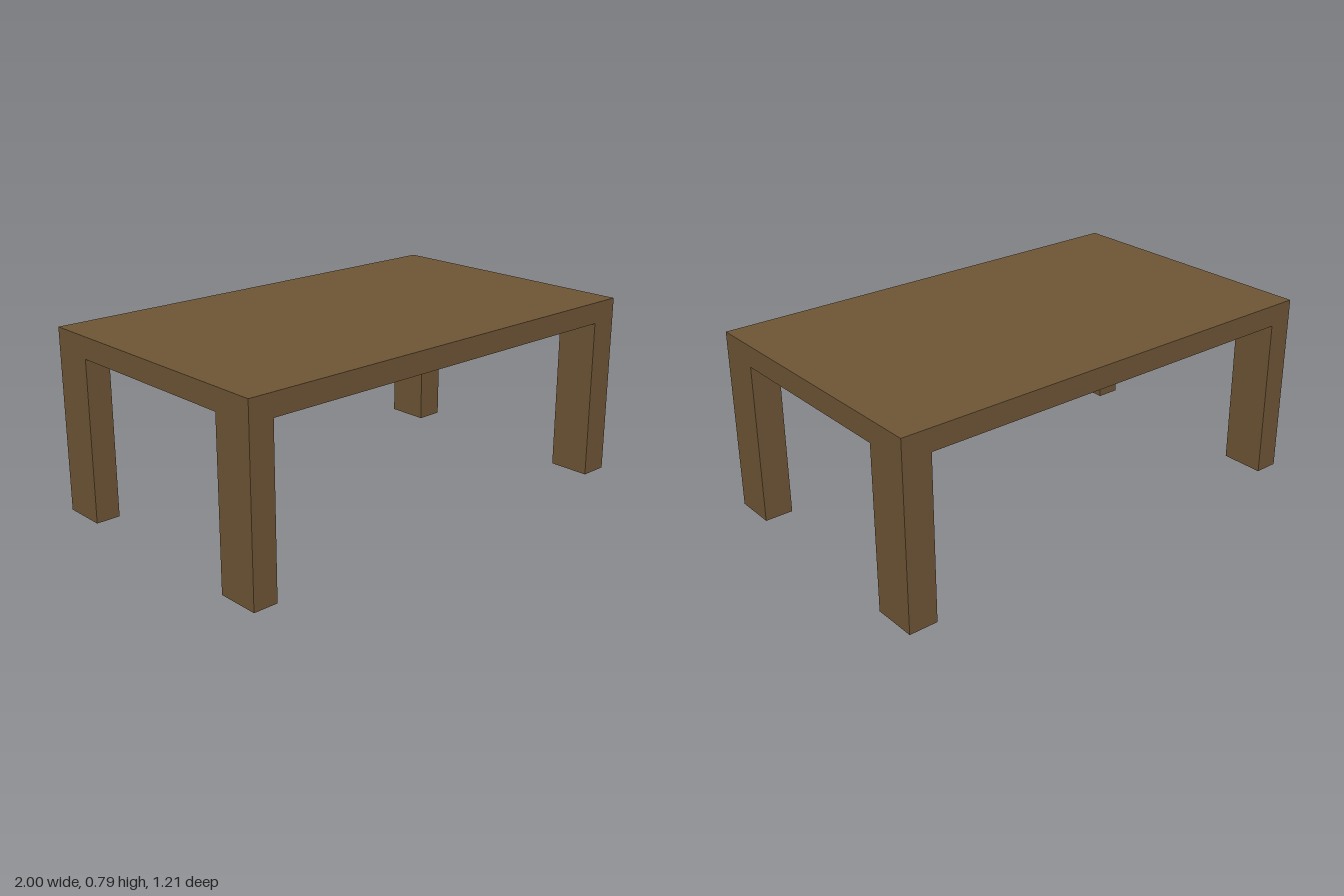
import * as THREE from 'three';

export function createModel() {
  const model = new THREE.Group();
  model.name = 'table';

  const wood = new THREE.MeshStandardMaterial({ color: 0x6f5636 });
  wood.name = 'brown wood';

  const halfX = 1, halfZ = 0.603, height = 0.786, legHeight = 0.694;

  // Box given by its minimum and maximum corners
  function addBox(name, min, max) {
    const size = max.map((v, i) => v - min[i]);
    const mesh = new THREE.Mesh(new THREE.BoxGeometry(...size), wood);
    mesh.position.set(...max.map((v, i) => (v + min[i]) / 2));
    mesh.name = name;
    model.add(mesh);
  }

  // Flat top slab
  addBox('tableTop', [-halfX, legHeight, -halfZ], [halfX, height, halfZ]);

  // Corner legs: slightly wider on the left, slightly deeper at the back
  const sidesX = [['Left', halfX - 0.123, halfX], ['Right', -halfX, -halfX + 0.106]];
  const sidesZ = [['front', halfZ - 0.183, halfZ], ['back', -halfZ, -halfZ + 0.19]];
  for (const [side, x0, x1] of sidesX) {
    for (const [end, z0, z1] of sidesZ) {
      addBox(`${end}${side}Leg`, [x0, 0, z0], [x1, legHeight, z1]);
    }
  }

  return model;
}
